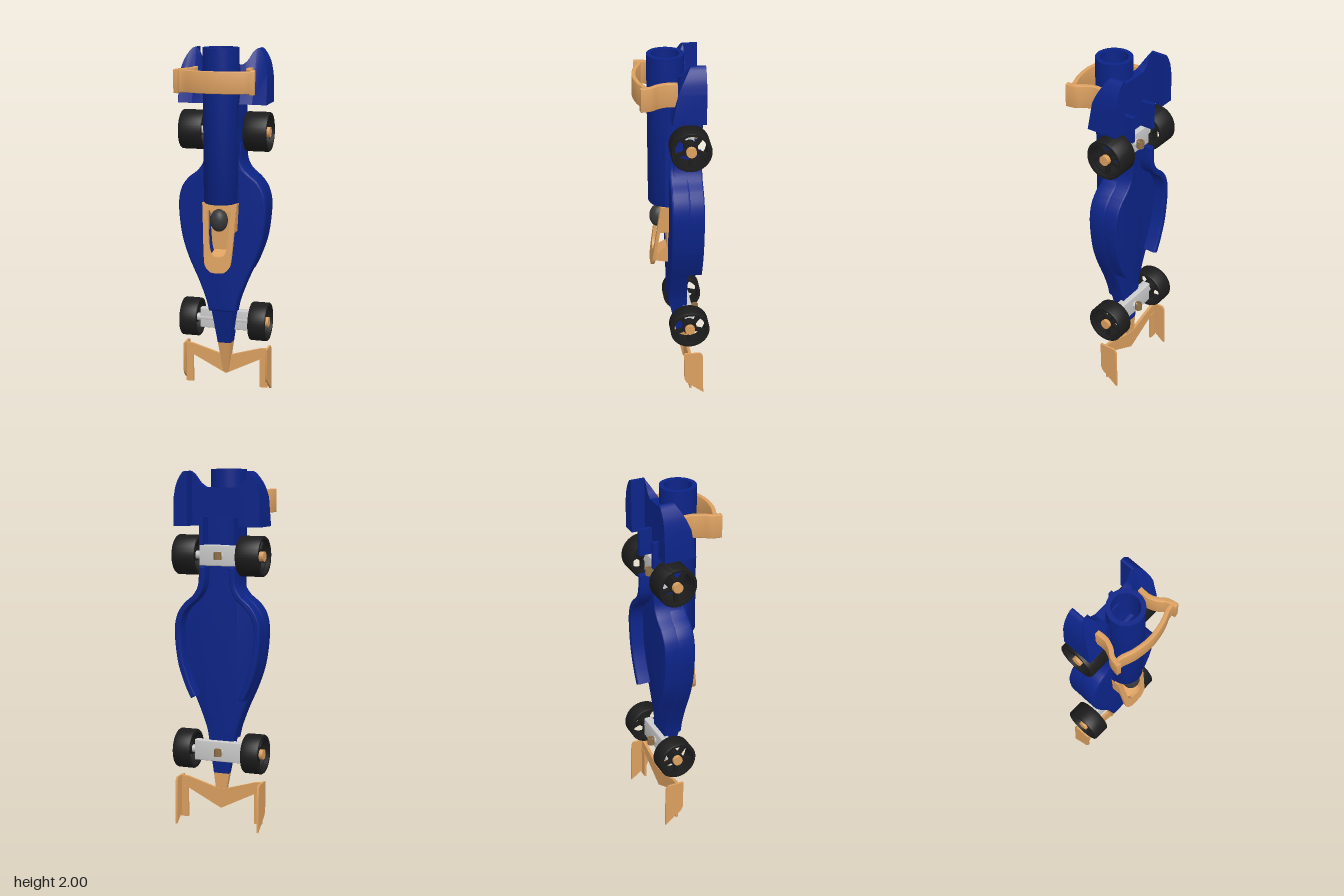
import * as THREE from 'three';
import { toCreasedNormals } from 'three/addons/utils/BufferGeometryUtils.js';
import { ConvexGeometry } from 'three/addons/geometries/ConvexGeometry.js';

const mat = (color) => new THREE.MeshStandardMaterial({ color, side: THREE.DoubleSide });
const V2 = (p) => new THREE.Vector2(p[0], p[1]);

export function createModel() {
  const car = new THREE.Group();
  car.name = 'racingCar';
  const blue = mat(0x0c2488), orange = mat(0xdca060), black = mat(0x1c1c1c);
  const helmetGrey = mat(0x383838), brass = mat(0x8f7048), grey = mat(0xcccccc);

  const add = (name, geo, material, parent = car) => {
    const m = new THREE.Mesh(geo, material);
    m.name = name;
    parent.add(m);
    return m;
  };
  const poly = (pts) => new THREE.Shape(pts.map(V2));
  const mirrorX = (pts) => [...pts, ...pts.filter((p) => p[0] > 0).reverse().map(([x, y]) => [-x, y])];
  const spline = (pts, n = 30) => new THREE.SplineCurve(pts.map(V2)).getPoints(n).map((p) => [p.x, p.y]);

  // Slab drawn in x,y and extruded between two z levels
  const slab = (shape, z0, z1, bevel = 0) => {
    const g = new THREE.ExtrudeGeometry(shape, {
      depth: z1 - z0 - 2 * bevel, bevelEnabled: bevel > 0, bevelSize: bevel,
      bevelThickness: bevel, bevelOffset: -bevel, bevelSegments: 3, curveSegments: 16,
    });
    g.translate(0, 0, z0 + bevel);
    return toCreasedNormals(g, 0.6);
  };
  // Strip of even width along a smooth path
  const strip = (pts, width, n = 30) => {
    const c = new THREE.SplineCurve(pts.map(V2)), a = [], b = [];
    for (let i = 0; i <= n; i++) {
      const p = c.getPoint(i / n), t = c.getTangent(i / n);
      a.push([p.x - t.y * width / 2, p.y + t.x * width / 2]);
      b.unshift([p.x + t.y * width / 2, p.y - t.x * width / 2]);
    }
    return poly([...a, ...b]);
  };
  const bend = (g, rule) => {
    const p = g.attributes.position;
    for (let i = 0; i < p.count; i++) p.setZ(i, rule(p.getX(i), p.getY(i), p.getZ(i)));
    g.computeVertexNormals();
    return toCreasedNormals(g, 0.6);
  };
  const hull = (pts) => new ConvexGeometry(pts.map((p) => new THREE.Vector3(...p)));
  const ring4 = (x, y, z0, z1) => [[x, y, z0], [-x, y, z0], [x * 0.8, y, z1], [-x * 0.8, y, z1]];

  // Main floor with swept side pods
  const podEdge = spline([[0.078, 0.5], [0.095, 0.57], [0.137, 0.68], [0.195, 0.81], [0.235, 0.94],
    [0.253, 1.1], [0.24, 1.2], [0.2, 1.265], [0.14, 1.315], [0.107, 1.37], [0.1, 1.45]], 50);
  add('body', slab(poly(mirrorX([...podEdge, [0.1, 1.75]])), -0.095, 0.01, 0.012), blue);

  // Nose and its tip
  add('nose', hull([...ring4(0.08, 0.53, -0.095, 0.01), ...ring4(0.046, 0.3, -0.095, -0.04)]), blue);
  add('noseTip', hull([...ring4(0.046, 0.3, -0.095, -0.04), ...ring4(0.018, 0.11, -0.1, -0.08)]), orange);

  // Hollow engine tube with a fairing down to the floor
  const tube = new THREE.LatheGeometry([[0, 1.14], [0.09, 1.14], [0.096, 1.15], [0.1, 1.9], [0.1, 2],
    [0.075, 2], [0.075, 1.3], [0, 1.3]].map(V2), 48);
  add('engineTube', toCreasedNormals(tube, 0.6), blue).position.z = 0.021;
  for (const s of [-1, 1]) {
    add('tubeFairing', new THREE.BoxGeometry(0.02, 0.75, 0.05), blue).position.set(s * 0.088, 1.515, 0.005);
  }

  // Tail deck joining the rear fenders
  const tailSlope = (x, y, z) => (z > -0.05 && y > 1.69 ? z - 0.1 * ((y - 1.69) / 0.3) ** 2 : z);
  const crest = spline([[0.25, 1.85], [0.235, 1.92], [0.205, 1.975], [0.18, 1.99], [0.155, 1.97],
    [0.13, 1.925], [0.1, 1.9]], 24);
  add('tailDeck', bend(slab(poly([...mirrorX([[0.18, 1.69], ...crest.filter((p) => p[0] < 0.181)])]),
    -0.095, 0.005), tailSlope), blue);

  for (const s of [-1, 1]) {
    const side = new THREE.Group();
    side.name = s > 0 ? 'leftSide' : 'rightSide';
    car.add(side);
    const flip = (pts) => pts.map(([x, y]) => [s * x, y]);

    // Rear fender
    const fender = [[0.172, 1.69], [0.253, 1.69], ...crest.filter((p) => p[0] > 0.172)];
    add('rearFender', bend(slab(poly(flip(fender)), -0.172, 0.008), tailSlope), blue, side);

    // Skirts hanging below the pods, with a gap at the axle
    const skirt = [[0.14, 0.74], [0.178, 0.82], [0.217, 0.94], [0.235, 1.1], [0.222, 1.19], [0.185, 1.25],
      [0.125, 1.305], [0.093, 1.37], [0.088, 1.47]];
    add('skirt', slab(strip(flip(skirt), 0.033, 50), -0.17, -0.01, 0.006), blue, side);
    add('rearSkirt', slab(strip(flip([[0.09, 1.59], [0.09, 1.74]]), 0.024, 4), -0.17, -0.05), blue, side);

    // Front wing end plate, drawn in z,y and turned sideways
    const plate = slab(poly([[-0.06, 0.27], [-0.155, 0.27], [-0.168, 0.25], [-0.174, 0], [-0.075, 0.075],
      [-0.063, 0.1]]), -0.006, 0.006);
    plate.rotateY(-Math.PI / 2);
    add('endPlate', plate, orange, side).position.x = s * 0.246;
    add('footPlate', slab(poly(flip([[0.2, 0.03], [0.246, 0.03], [0.246, 0.21], [0.2, 0.21]])),
      -0.105, -0.093), orange, side);

    // Rear wing strut, drawn in x,z and raised along y
    const strut = slab(strip(flip([[0.158, -0.028], [0.156, 0.03], [0.175, 0.08], [0.203, 0.118],
      [0.214, 0.172]]), 0.026), 0, 0.13, 0.003);
    strut.rotateX(Math.PI / 2);
    add('rearWingStrut', strut, orange, side).position.y = 1.89;

    // Cockpit shoulder
    add('cockpitShoulder', hull([[0.07, 1.14, 0], [0.1, 1.14, 0], [0.07, 1.14, 0.055], [0.1, 1.14, 0.055],
      [0.072, 0.98, 0.01], [0.092, 0.98, 0.01], [0.072, 0.98, 0.065], [0.09, 0.98, 0.065],
    ].map(([x, y, z]) => [s * x, y, z])), orange, side);
  }

  // Front wing blade
  add('frontWing', slab(poly(mirrorX([[0, 0.1], [0.2, 0.2], [0.246, 0.2], [0.246, 0.27], [0.2, 0.265],
    [0.03, 0.215]])), -0.102, -0.085), orange);

  // Rear wing blade
  const blade = slab(strip([[-0.21, 0.146], [-0.17, 0.15], [-0.1, 0.175], [0, 0.188], [0.1, 0.175],
    [0.17, 0.15], [0.21, 0.146]], 0.022, 40), 0, 0.12, 0.003);
  blade.rotateX(Math.PI / 2);
  add('rearWing', blade, orange).position.y = 1.885;

  // Tilted cockpit surround, its foot and the seat floor
  const rim = (k, top, bottom) => mirrorX([[0, bottom], ...spline([[0.035 * k, bottom + 0.004],
    [0.062 * k, bottom + 0.03], [0.076 * k, bottom + 0.09], [0.094 * k, top]], 16)]);
  const surround = poly(rim(1.05, 1.14, 0.75));
  surround.holes.push(new THREE.Path(rim(0.72, 1.1, 0.84).map(V2)));
  add('cockpitSurround', bend(slab(surround, 0, 0.018), (x, y, z) => z + 0.038 + (1.14 - y) * 0.135), orange);
  add('cockpitFoot', hull([[0.035, 0.76, 0], [-0.035, 0.76, 0], [0.035, 0.88, 0], [-0.035, 0.88, 0],
    [0.06, 0.79, 0.088], [-0.06, 0.79, 0.088], [0.06, 0.82, 0.088], [-0.06, 0.82, 0.088]]), orange);
  add('seatFloor', slab(poly(rim(0.72, 1.13, 0.84)), 0, 0.016), orange);
  const helmet = add('helmet', new THREE.SphereGeometry(1, 32, 20), helmetGrey);
  helmet.scale.set(0.05, 0.064, 0.048);
  helmet.position.set(0, 1.046, 0.063);

  // Wheel: tyre ring, five-spoke disc and hub cap, outer face towards +x
  const makeWheel = (width) => {
    const wheel = new THREE.Group(), h = width / 2;
    const tyre = new THREE.LatheGeometry([[0.094, -h], [0.107, -h], [0.111, -h + 0.006], [0.111, h - 0.006],
      [0.107, h], [0.094, h], [0.094, -h]].map(V2), 48);
    tyre.rotateZ(-Math.PI / 2);
    add('tyre', toCreasedNormals(tyre, 0.6), black, wheel);
    const disc = new THREE.Shape().absarc(0, 0, 0.097, 0, Math.PI * 2);
    for (let i = 0; i < 5; i++) {
      const a = i * Math.PI * 0.4 + 0.31, hole = new THREE.Path();
      hole.absarc(0, 0, 0.088, a - 0.5, a + 0.5, false);
      hole.absarc(0, 0, 0.04, a + 0.38, a - 0.38, true);
      disc.holes.push(hole);
    }
    const spokes = slab(disc, h - 0.045, h - 0.025);
    spokes.rotateY(Math.PI / 2);
    add('spokes', spokes, black, wheel);
    const hub = new THREE.CylinderGeometry(0.034, 0.034, width * 0.6, 24).rotateZ(Math.PI / 2);
    add('hub', hub, black, wheel);
    const cap = new THREE.CylinderGeometry(0.028, 0.028, 0.03, 24).rotateZ(Math.PI / 2);
    add('hubCap', cap, orange, wheel).position.x = h - 0.014;
    return wheel;
  };

  // Axle assemblies: beam, round axle, wheels and guide eyelet
  for (const [name, y, inner] of [['front', 0.43, 0.152], ['rear', 1.53, 0.12]]) {
    const axle = new THREE.Group();
    axle.name = name + 'Axle';
    axle.position.set(0, y, -0.094);
    car.add(axle);
    add('beam', slab(poly([[-inner, -0.058], [inner, -0.058], [inner, 0.058], [-inner, 0.058]]),
      -0.03, name === 'front' ? 0.02 : 0.005, 0.006), grey, axle);
    add('axleRod', new THREE.CylinderGeometry(0.022, 0.022, 0.4, 20).rotateZ(Math.PI / 2), grey, axle);
    add('eyeletMount', new THREE.CylinderGeometry(0.01, 0.028, 0.02, 16).rotateX(-Math.PI / 2), grey, axle)
      .position.z = -0.034;
    const eyelet = new THREE.LatheGeometry([[0.015, -0.02], [0.021, -0.02], [0.021, 0.02], [0.015, 0.02],
      [0.015, -0.02]].map(V2), 24);
    add('eyelet', toCreasedNormals(eyelet, 0.6), brass, axle).position.z = -0.056;
    for (const s of [-1, 1]) {
      const wheel = makeWheel(0.253 - inner);
      wheel.name = name + 'Wheel';
      wheel.position.x = s * (0.253 + inner) / 2;
      if (s < 0) wheel.rotation.y = Math.PI;
      axle.add(wheel);
    }
  }
  return car;
}
